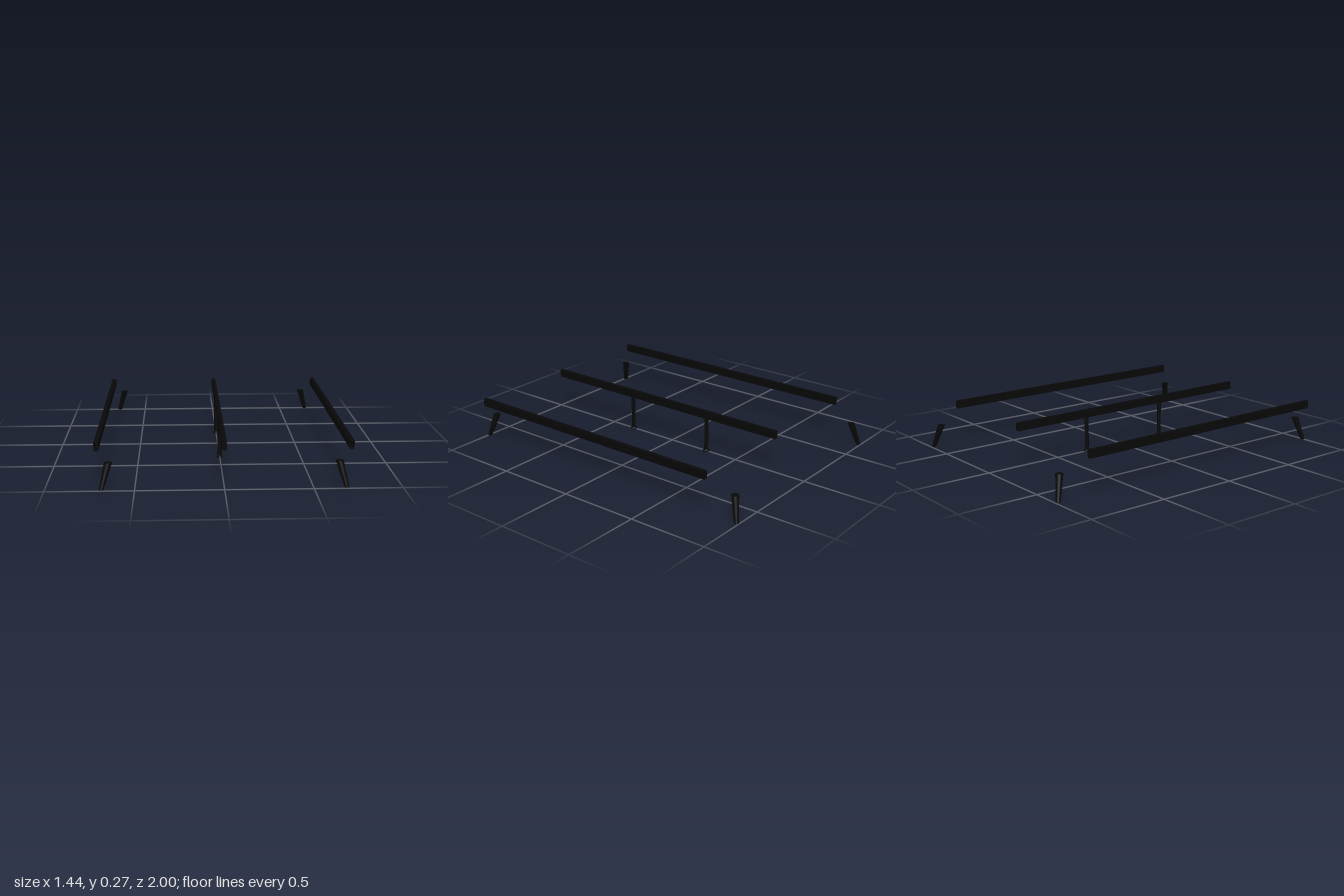
import * as THREE from 'three';

const black = new THREE.MeshStandardMaterial({ color: 0x080808 });

function addMesh(parent, name, geometry, x = 0, y = 0, z = 0) {
  const mesh = new THREE.Mesh(geometry, black);
  mesh.name = name;
  mesh.position.set(x, y, z);
  parent.add(mesh);
  return mesh;
}

function rectangle(PathType, w, h) {
  const p = new PathType();
  p.moveTo(-w / 2, -h / 2);
  p.lineTo(w / 2, -h / 2);
  p.lineTo(w / 2, h / 2);
  p.lineTo(-w / 2, h / 2);
  p.closePath();
  return p;
}

// Hollow rectangular tube, open at both ends, running along z
function railGeometry(w, h, wall, length) {
  const shape = rectangle(THREE.Shape, w, h);
  shape.holes.push(rectangle(THREE.Path, w - 2 * wall, h - 2 * wall));
  return new THREE.ExtrudeGeometry(shape, { depth: length, bevelEnabled: false });
}

// Tapered leg sheared outwards, so both end faces stay level
function splayedLegGeometry(sx, sz) {
  const height = 0.146;
  const geometry = new THREE.CylinderGeometry(0.0225, 0.0135, height, 32);
  const shear = new THREE.Matrix4().set(
    1, -sx * 0.039 / height, 0, 0,
    0, 1, 0, 0,
    0, -sz * 0.039 / height, 1, 0,
    0, 0, 0, 1
  );
  return geometry.applyMatrix4(shear);
}

export function createModel() {
  const model = new THREE.Group();
  model.name = 'bedFrameSupports';

  // Three parallel rails
  const rail = railGeometry(0.025, 0.049, 0.003, 1.773);
  [['rightRail', -0.709], ['centreRail', 0], ['leftRail', 0.709]].forEach(([name, x]) =>
    addMesh(model, name, rail, x, 0.246, -0.792));

  // Corner legs
  for (const sx of [-1, 1]) {
    for (const sz of [-1, 1]) {
      const name = (sz > 0 ? 'front' : 'back') + (sx > 0 ? 'Left' : 'Right') + 'Leg';
      addMesh(model, name, splayedLegGeometry(sx, sz), sx * 0.665, 0.077, sz * 0.967);
    }
  }

  // Centre posts with adjustable feet
  const post = new THREE.CylinderGeometry(0.0125, 0.0125, 0.206, 32);
  const screw = new THREE.CylinderGeometry(0.006, 0.006, 0.014, 16);
  const pad = new THREE.CylinderGeometry(0.012, 0.021, 0.007, 32);
  const padBase = new THREE.CylinderGeometry(0.021, 0.021, 0.004, 32);
  for (const [name, z] of [['frontPost', 0.328], ['backPost', -0.274]]) {
    const group = new THREE.Group();
    group.name = name;
    group.position.z = z;
    addMesh(group, 'post', post, 0, 0.119, 0);
    addMesh(group, 'screw', screw, 0, 0.012, 0);
    addMesh(group, 'footPad', pad, 0, 0.0075, 0);
    addMesh(group, 'footBase', padBase, 0, 0.002, 0);
    model.add(group);
  }
  return model;
}
